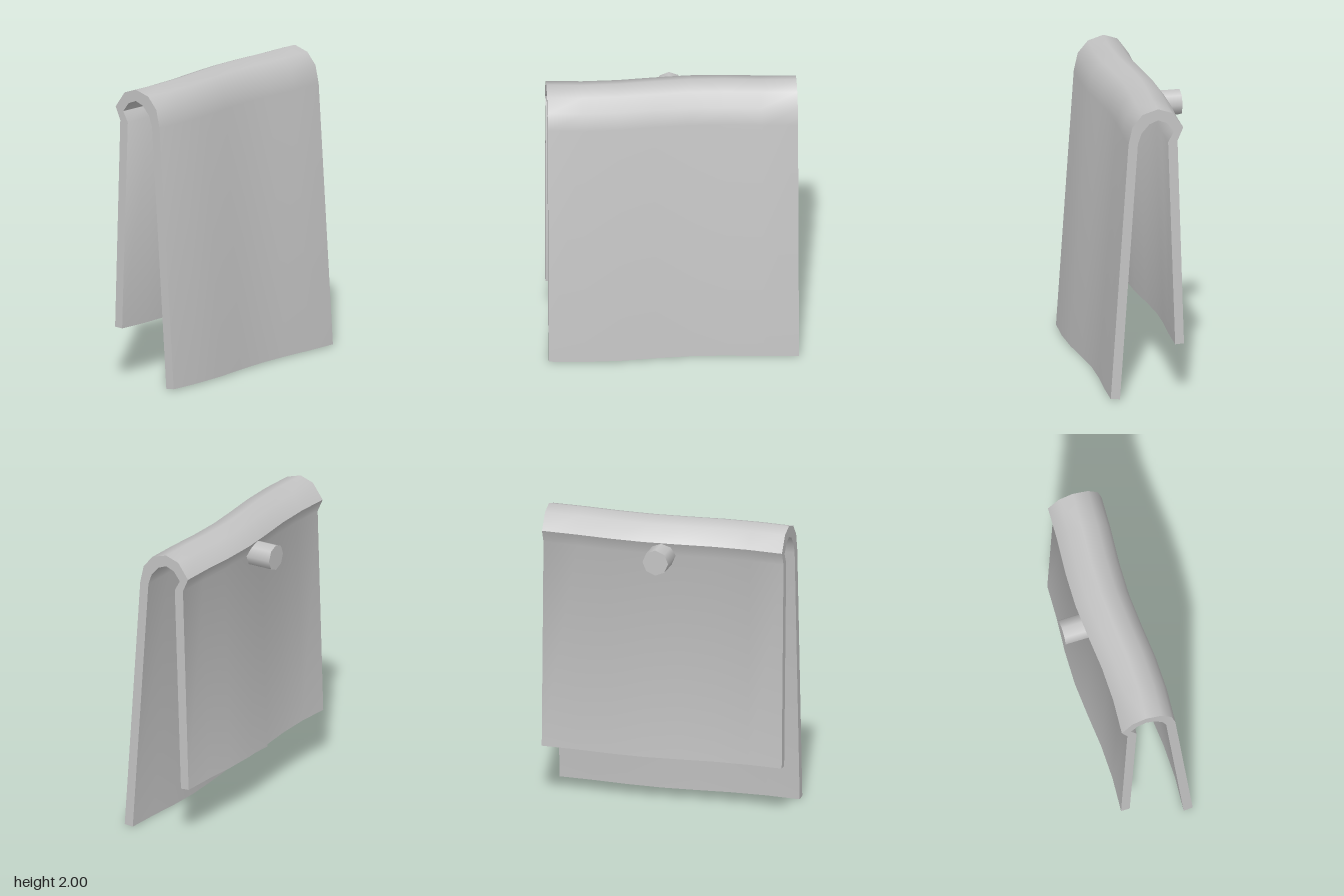
import * as THREE from 'three';
import { toCreasedNormals } from 'three/addons/utils/BufferGeometryUtils.js';

const WIDTH = 1.66;
const WAVE = 0.0185;

// Folded strip in [z, y]: up the outside from the front hem, back along the inside
const SECTION = [
  [0.333, 0.006], [0.212, 1.767], [0.185, 1.887], [0.116, 1.968], [0.01, 2],
  [-0.085, 1.968], [-0.161, 1.862], [-0.122, 1.772], [-0.166, 0.358],
  [-0.106, 0.355], [-0.058, 1.767], [-0.097, 1.838], [-0.05, 1.9], [0.01, 1.923],
  [0.069, 1.9], [0.122, 1.841], [0.148, 1.767], [0.27, 0],
];

// Cloth: the section drawn across the width, rippled along x
function clothGeometry() {
  const shape = new THREE.Shape(SECTION.map(([z, y]) => new THREE.Vector2(WAVE - z, y)));
  const g = new THREE.ExtrudeGeometry(shape, { depth: WIDTH, steps: 7, bevelEnabled: false });
  g.translate(0, 0, -WIDTH / 2).rotateY(Math.PI / 2);
  const p = g.attributes.position;
  for (let i = 0; i < p.count; i++) {
    const phase = (p.getX(i) / WIDTH + 0.5) * Math.PI * 2.5;
    p.setZ(i, p.getZ(i) + WAVE * Math.sin(phase));
  }
  return toCreasedNormals(g, 0.8);
}

export function createModel() {
  const group = new THREE.Group();
  group.name = 'hangingTowel';
  const grey = new THREE.MeshStandardMaterial({ color: 0xc4c4c4 });
  grey.name = 'light grey';

  const cloth = new THREE.Mesh(clothGeometry(), grey);
  cloth.name = 'towel';

  // Wall peg poking through under the fold
  const peg = new THREE.Mesh(new THREE.CylinderGeometry(0.088, 0.088, 0.3, 8), grey);
  peg.name = 'peg';
  peg.rotation.x = Math.PI / 2;
  peg.position.set(0, 1.77, -0.182);

  group.add(cloth, peg);
  return group;
}
